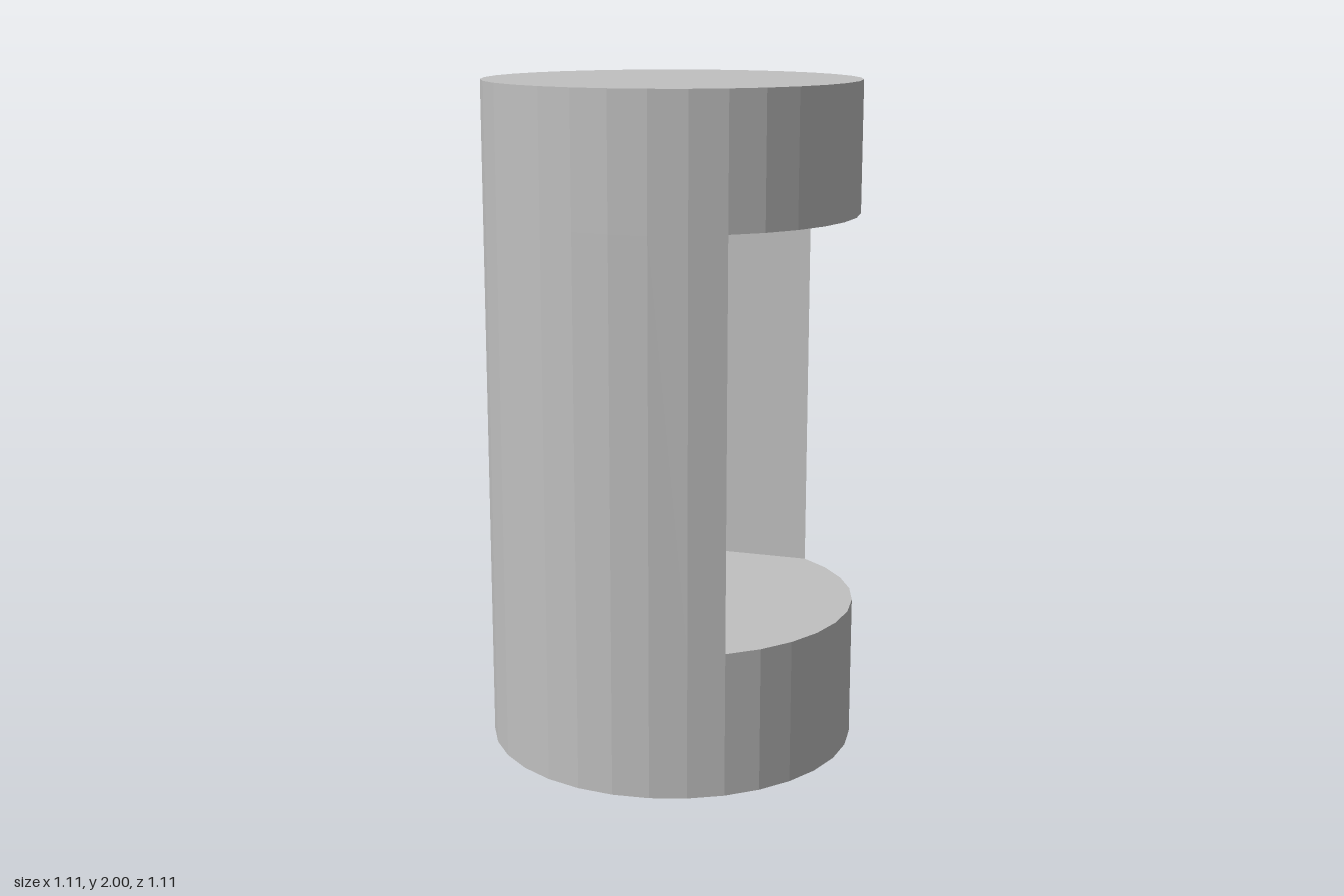
import * as THREE from 'three';

const SIDES = 32, RADIUS = 0.555;
const POCKET_BOTTOM = 0.43, POCKET_TOP = 1.615, HEIGHT = 2;

// Points on the faceted rim, from facet corner `first` to `last`
function rim(first, last) {
  const points = [];
  for (let i = first; i <= last; i++) {
    const a = (i / SIDES) * Math.PI * 2;
    points.push(new THREE.Vector2(Math.cos(a) * RADIUS, Math.sin(a) * RADIUS));
  }
  return points;
}

export function createModel() {
  const model = new THREE.Group();
  model.name = 'pocketedCylinder';
  const grey = new THREE.MeshStandardMaterial({ color: 0xc0c0c0 });
  grey.name = 'plain grey';

  // Upright slab with the given outline, between two heights
  function addSlab(name, outline, y0, y1) {
    const geometry = new THREE.ExtrudeGeometry(new THREE.Shape(outline), {
      depth: y1 - y0, bevelEnabled: false,
    });
    geometry.rotateX(-Math.PI / 2);
    geometry.translate(0, y0, 0);
    const mesh = new THREE.Mesh(geometry, grey);
    mesh.name = name;
    model.add(mesh);
  }

  // Solid end blocks
  const disc = rim(0, SIDES - 1);
  addSlab('bottomBlock', disc, 0, POCKET_BOTTOM);
  addSlab('topBlock', disc, POCKET_TOP, HEIGHT);

  // Shell around the square pocket, which opens toward +x
  const shell = rim(5, SIDES - 5);
  const halfWidth = shell[0].y, pocketBack = -0.305;
  shell.push(
    new THREE.Vector2(pocketBack, -halfWidth),
    new THREE.Vector2(pocketBack, halfWidth),
  );
  addSlab('pocketShell', shell, POCKET_BOTTOM, POCKET_TOP);

  return model;
}
